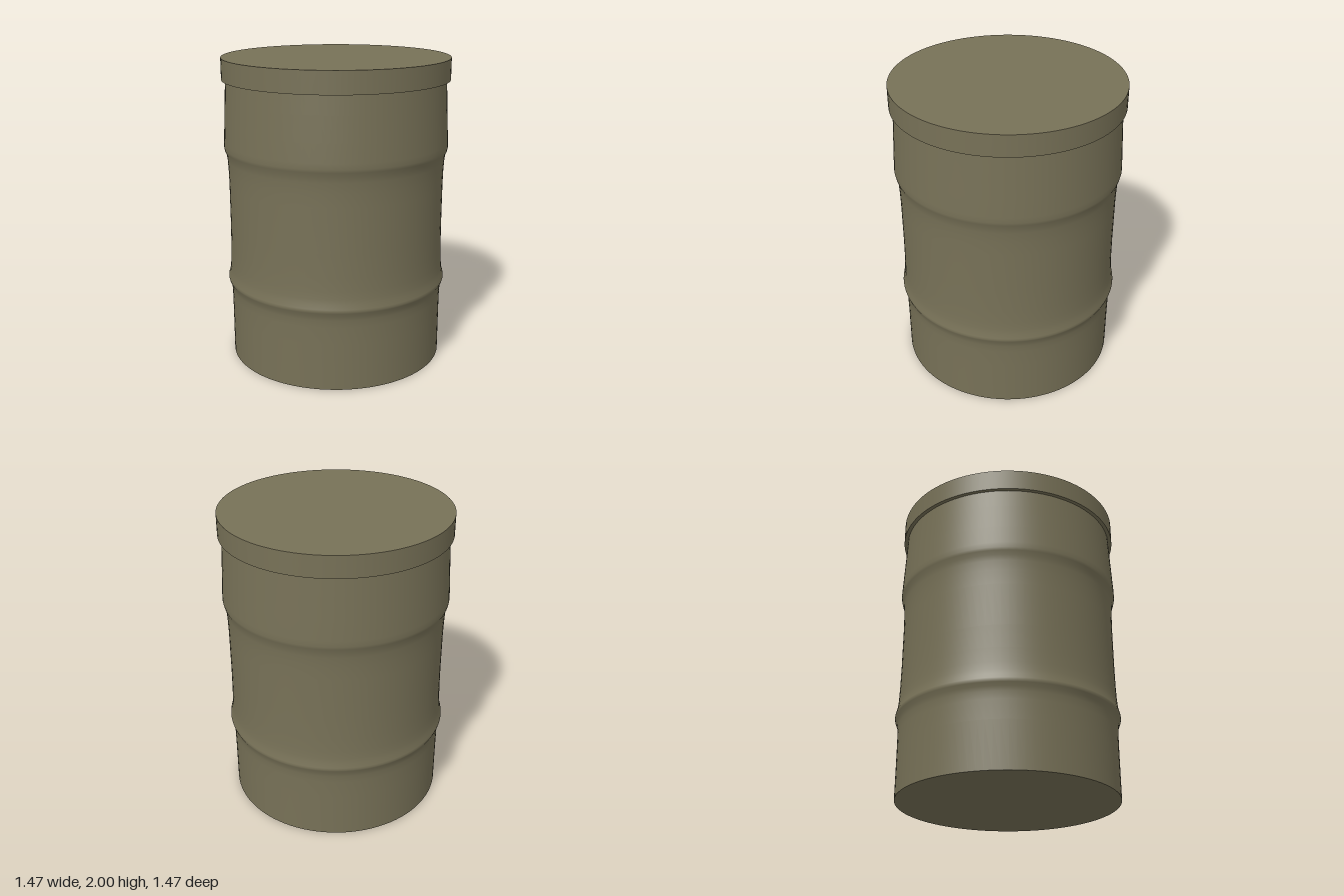
import * as THREE from 'three';

const SEGMENTS = 96;

export function createModel() {
  const drum = new THREE.Group();
  drum.name = 'drum';
  const olive = new THREE.MeshStandardMaterial({ color: 0x777157 });
  olive.name = 'olive paint';

  function add(name, geometry, y = 0) {
    const mesh = new THREE.Mesh(geometry, olive);
    mesh.name = name;
    mesh.position.y = y;
    drum.add(mesh);
    return mesh;
  }

  // Body wall with two rolled ridges, as radius and height
  const profile = [
    [0.708, 0], [0.708, 0.3], [0.709, 0.42], [0.712, 0.47], [0.718, 0.5],
    [0.728, 0.522], [0.731, 0.535], [0.729, 0.548], [0.721, 0.575], [0.716, 0.61],
    [0.712, 0.66], [0.709, 0.75], [0.707, 0.9], [0.707, 1.18], [0.709, 1.27],
    [0.713, 1.34], [0.719, 1.38], [0.729, 1.405], [0.733, 1.425], [0.732, 1.46],
    [0.726, 1.58], [0.718, 1.74], [0.712, 1.87],
  ].map(([r, y]) => new THREE.Vector2(r, y));
  add('bodyWall', new THREE.LatheGeometry(profile, SEGMENTS));

  // Flat base
  add('base', new THREE.CircleGeometry(0.708, SEGMENTS)).rotation.x = Math.PI / 2;

  // Overhanging lid
  add('lid', new THREE.CylinderGeometry(0.737, 0.737, 0.14, SEGMENTS), 1.93);

  return drum;
}
